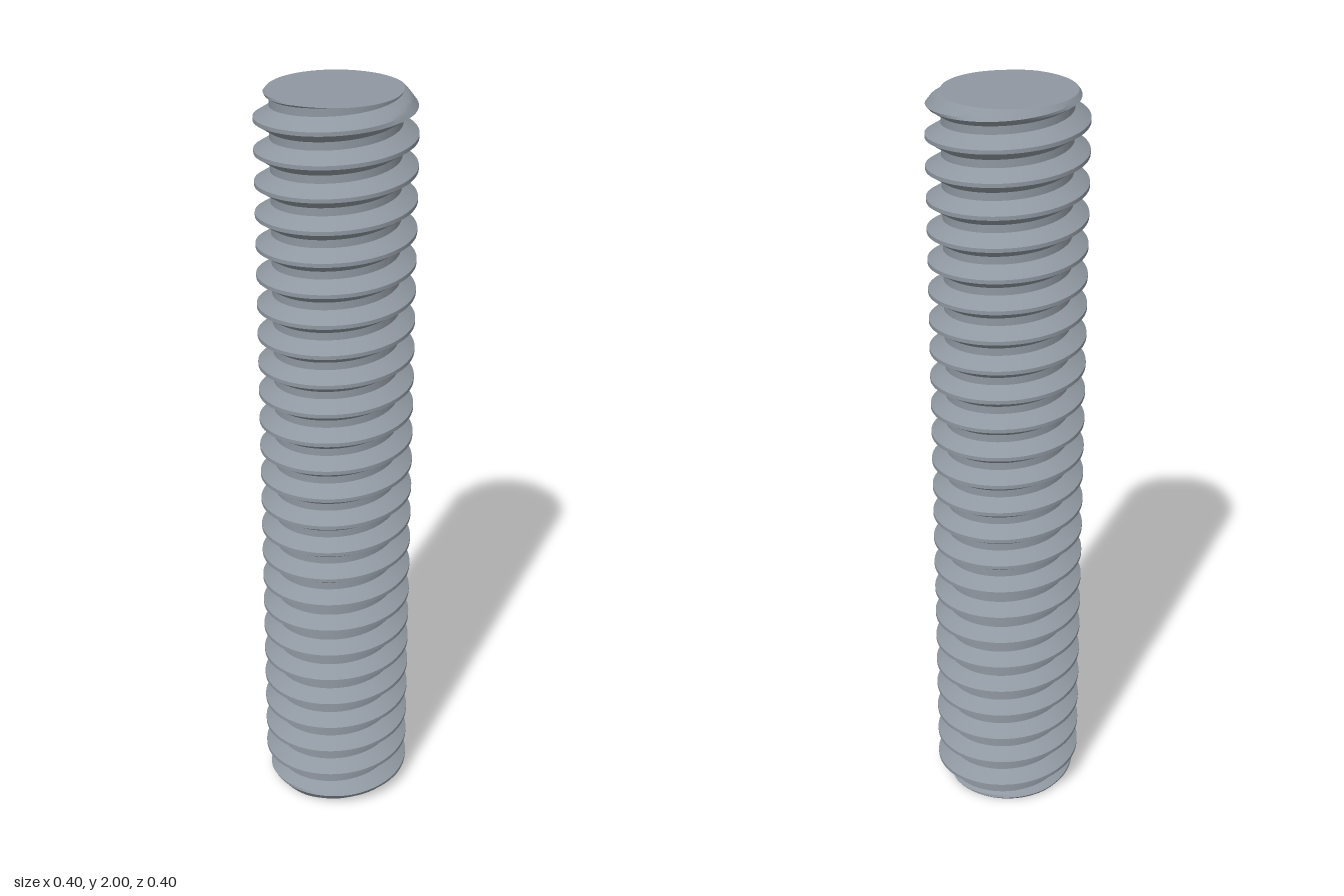
import * as THREE from 'three';
import { toCreasedNormals } from 'three/addons/utils/BufferGeometryUtils.js';

const LENGTH = 2, PITCH = 0.08, TURNS = LENGTH / PITCH;
const CREST = 0.2, ROOT = 0.161;
const CHAMFER = 0.17, CHAMFER_SLOPE = 1.3; // end radius, and drop per unit of radius
const PHASE = 0.055; // crest height on the +x side
const SEGMENTS = 96, STEPS = 4;
const CREST_HALF = 0.005, FLANK = 0.025;

// Thread radius for a height at an angle, including the chamfered ends
function radiusAt(y, angle) {
  let d = (y - PHASE - PITCH * angle / (2 * Math.PI)) / PITCH;
  d = Math.abs(d - Math.round(d)) * PITCH;
  const t = THREE.MathUtils.clamp((d - CREST_HALF) / FLANK, 0, 1);
  const end = CHAMFER + Math.min(y, LENGTH - y) / CHAMFER_SLOPE;
  return Math.min(CREST + (ROOT - CREST) * t, end);
}

function pointAt(y, i) {
  const angle = i / SEGMENTS * Math.PI * 2;
  const h = THREE.MathUtils.clamp(y, 0, LENGTH);
  const r = radiusAt(h, angle);
  return new THREE.Vector3(Math.cos(angle) * r, h, -Math.sin(angle) * r);
}

function makeGeometry(triangles) {
  return new THREE.BufferGeometry().setFromPoints(triangles);
}

// Helical skin: rows follow the crest, flanks and root all the way round
function threadGeometry() {
  const offsets = [-CREST_HALF, CREST_HALF];
  for (let s = 1; s <= STEPS; s++) offsets.push(CREST_HALF + FLANK * s / STEPS);
  for (let s = 0; s < STEPS; s++) offsets.push(PITCH - CREST_HALF - FLANK + FLANK * s / STEPS);
  const rows = [];
  for (let k = -2; k <= TURNS + 1; k++) {
    for (const o of offsets) rows.push(PHASE + k * PITCH + o);
  }
  const triangles = [];
  const area = new THREE.Triangle();
  const add = (a, b, c) => {
    if (area.set(a, b, c).getArea() > 1e-9) triangles.push(a, b, c);
  };
  for (let j = 0; j < rows.length - 1; j++) {
    for (let i = 0; i < SEGMENTS; i++) {
      const rise0 = PITCH * i / SEGMENTS, rise1 = PITCH * (i + 1) / SEGMENTS;
      const a = pointAt(rows[j] + rise0, i), b = pointAt(rows[j] + rise1, i + 1);
      const c = pointAt(rows[j + 1] + rise1, i + 1), d = pointAt(rows[j + 1] + rise0, i);
      add(a, b, c);
      add(a, c, d);
    }
  }
  return toCreasedNormals(makeGeometry(triangles), 0.45);
}

// Flat end face whose rim matches the thread
function capGeometry(y) {
  const triangles = [];
  for (let i = 0; i < SEGMENTS; i++) {
    const rim = [pointAt(y, i), pointAt(y, i + 1)];
    if (y === 0) rim.reverse();
    triangles.push(new THREE.Vector3(0, y, 0), ...rim);
  }
  const geometry = makeGeometry(triangles);
  geometry.computeVertexNormals();
  return geometry;
}

export function createModel() {
  const group = new THREE.Group();
  group.name = 'threadedRod';
  const steel = new THREE.MeshStandardMaterial({ color: 0x8f97a0 });
  steel.name = 'steel';

  const addPart = (name, geometry) => {
    const mesh = new THREE.Mesh(geometry, steel);
    mesh.name = name;
    group.add(mesh);
  };
  addPart('thread', threadGeometry());
  addPart('topFace', capGeometry(LENGTH));
  addPart('bottomFace', capGeometry(0));
  return group;
}
